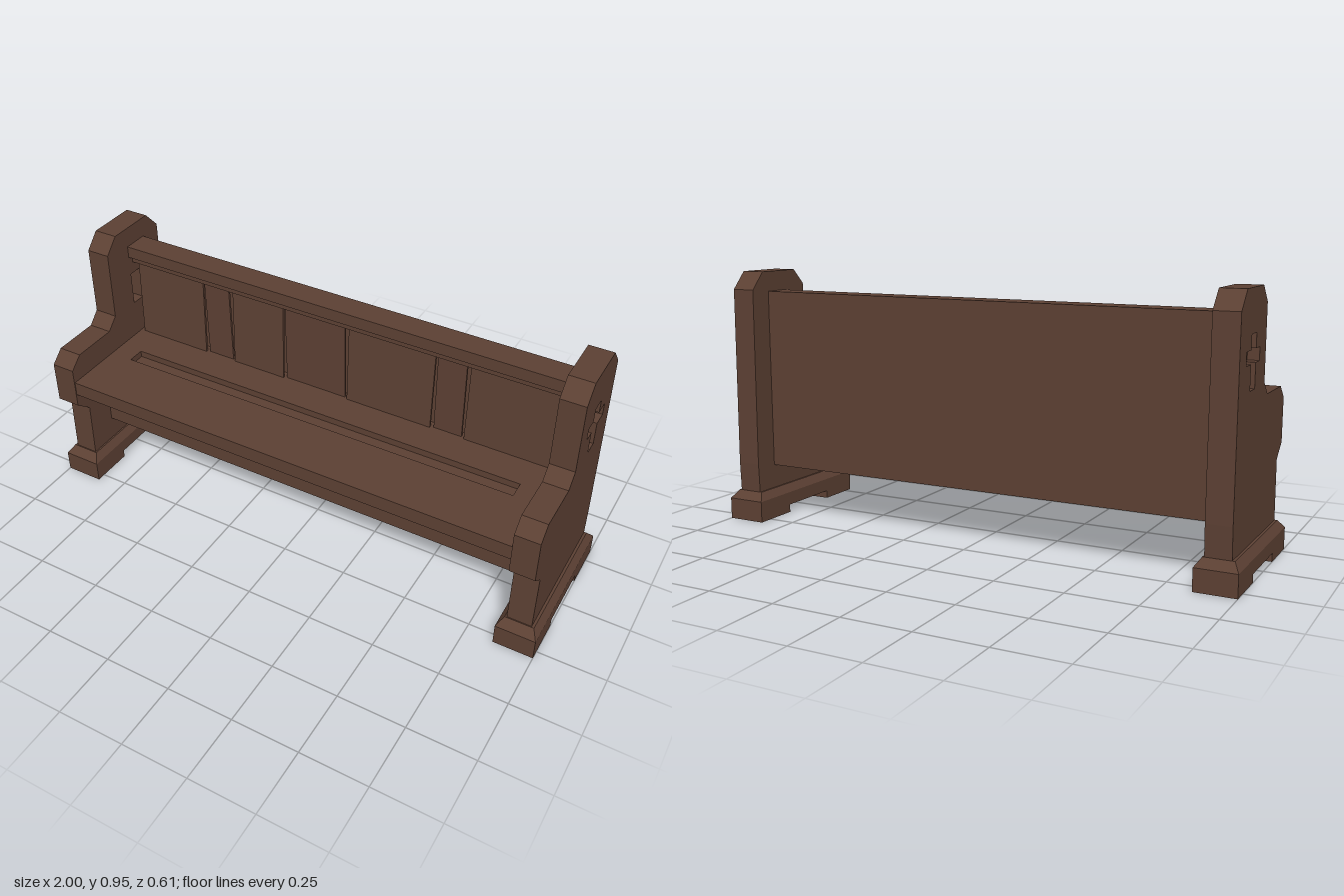
import * as THREE from 'three';

export function createModel() {
  const group = new THREE.Group();
  const wood = new THREE.MeshStandardMaterial({ color: 0x5c4033 });
  wood.name = 'dark brown wood';

  const add = (name, geometry) => {
    const mesh = new THREE.Mesh(geometry, wood);
    mesh.name = name;
    group.add(mesh);
    return mesh;
  };
  // Box given by its limits on each axis
  const box = (name, x0, x1, y0, y1, z0, z1) => {
    const mesh = add(name, new THREE.BoxGeometry(x1 - x0, y1 - y0, z1 - z0));
    mesh.position.set((x0 + x1) / 2, (y0 + y1) / 2, (z0 + z1) / 2);
    return mesh;
  };
  // Side profile of [z, y] points, extruded across x
  const points = (list) => list.map(([z, y]) => new THREE.Vector2(-z, y));
  const sidePlate = (name, outline, hole, x0, x1) => {
    const shape = new THREE.Shape(points(outline));
    if (hole) shape.holes.push(new THREE.Path(points(hole)));
    const geometry = new THREE.ExtrudeGeometry(shape, { depth: x1 - x0, bevelEnabled: false });
    geometry.rotateY(Math.PI / 2).translate(x0, 0, 0);
    return add(name, geometry);
  };

  // Bench ends: outer layer with a cross cut-out, inner layer with only the lower slot
  const endOutline = [
    [-0.275, 0.1], [-0.28, 0.22], [-0.275, 0.885], [-0.215, 0.95], [-0.025, 0.95],
    [0.03, 0.893], [0.03, 0.63], [0.075, 0.585], [0.255, 0.585], [0.305, 0.54],
    [0.305, 0.38], [0.245, 0.33], [0.25, 0.1],
  ];
  const cross = [
    [-0.09, 0.625], [-0.145, 0.625], [-0.145, 0.71], [-0.2, 0.71], [-0.2, 0.755], [-0.145, 0.755],
    [-0.145, 0.805], [-0.09, 0.805], [-0.09, 0.755], [-0.045, 0.755], [-0.045, 0.71], [-0.09, 0.71],
  ];
  const slot = [[-0.09, 0.625], [-0.145, 0.625], [-0.145, 0.755], [-0.09, 0.755]];
  const footOutline = [
    [0.283, 0], [0.283, 0.08], [-0.305, 0.08], [-0.305, 0],
    [-0.13, 0], [-0.13, 0.03], [0.115, 0.03], [0.115, 0],
  ];
  for (const s of [-1, 1]) {
    const span = (a, b) => (s > 0 ? [a, b] : [-b, -a]);
    sidePlate('endOuter', endOutline, cross, ...span(0.93, 0.97));
    sidePlate('endInner', endOutline, slot, ...span(0.88, 0.93));
    sidePlate('foot', footOutline, null, ...span(0.853, 1));

    // Chamfered top of the foot
    const chamfer = new THREE.BoxGeometry(0.147, 0.03, 0.588);
    const p = chamfer.attributes.position;
    for (let i = 0; i < p.count; i++) {
      if (p.getY(i) > 0) {
        p.setX(i, p.getX(i) * 0.72);
        p.setZ(i, p.getZ(i) * 0.9);
      }
    }
    chamfer.computeVertexNormals();
    add('footChamfer', chamfer).position.set(s * 0.9265, 0.095, -0.011);
  }

  // Seat board with a long shallow groove
  const board = new THREE.Shape(points([[0.302, -0.88], [0.302, 0.88], [-0.16, 0.88], [-0.16, -0.88]])
    .map((v) => new THREE.Vector2(v.y, v.x)));
  board.holes.push(new THREE.Path([
    new THREE.Vector2(-0.79, -0.075), new THREE.Vector2(-0.79, -0.01),
    new THREE.Vector2(0.79, -0.01), new THREE.Vector2(0.79, -0.075),
  ]));
  const top = new THREE.ExtrudeGeometry(board, { depth: 0.025, bevelEnabled: false });
  top.rotateX(-Math.PI / 2);
  add('seatTop', top).position.y = 0.46;
  box('seatBase', -0.88, 0.88, 0.43, 0.46, -0.16, 0.302);

  // Closed box under the seat, and the back wall
  box('seatBox', -0.88, 0.88, 0.2, 0.43, -0.15, 0.13);
  box('backWall', -0.88, 0.88, 0.2, 0.83, -0.185, -0.15);

  // Top rail and the strip beneath it
  box('topRail', -0.88, 0.88, 0.83, 0.875, -0.185, -0.088);
  box('railStrip', -0.88, 0.88, 0.8, 0.83, -0.16, -0.108);

  // Backrest planks of uneven width, each tilted a little
  const joints = [-0.87, -0.56, -0.44, -0.21, 0.05, 0.4, 0.52, 0.87];
  for (let i = 0; i < joints.length - 1; i++) {
    const plank = box('backPlank', joints[i] + 0.006, joints[i + 1] - 0.006, 0.48, 0.803, -0.129, -0.12);
    plank.rotation.x = (i % 2 ? 1 : -1) * 0.025;
  }
  return group;
}
